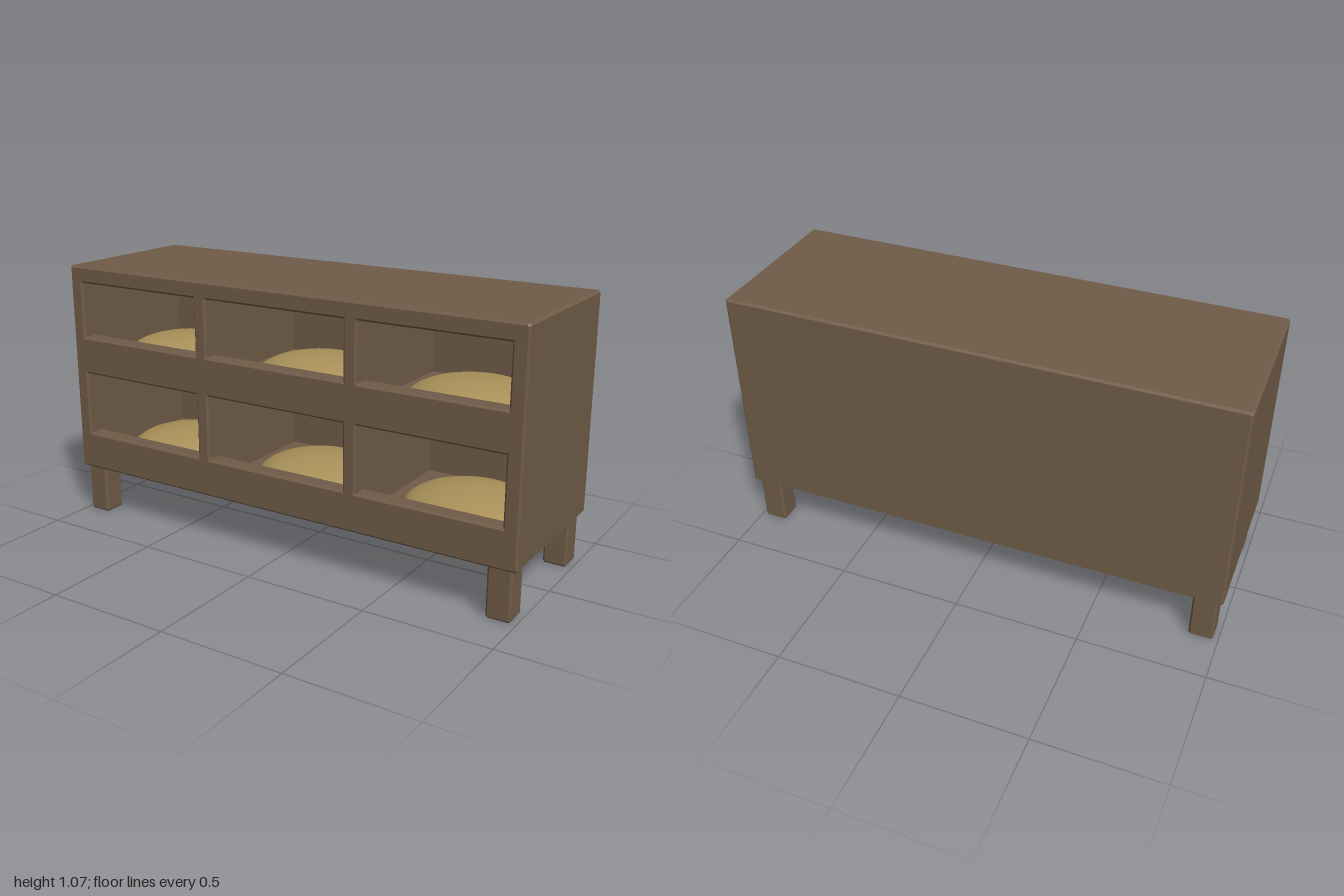
import * as THREE from 'three';

const BEVEL = 0.008;
const wood = new THREE.MeshStandardMaterial({ color: 0x705b47 });
const straw = new THREE.MeshStandardMaterial({ color: 0xa89058 });

// Rectangle path with small cut corners
function rect(path, x0, x1, y0, y1, c) {
  path.moveTo(x0 + c, y0);
  path.lineTo(x1 - c, y0);
  if (c) path.lineTo(x1, y0 + c);
  path.lineTo(x1, y1 - c);
  if (c) path.lineTo(x1 - c, y1);
  path.lineTo(x0 + c, y1);
  if (c) path.lineTo(x0, y1 - c);
  path.lineTo(x0, y0 + c);
  path.closePath();
  return path;
}

// Block between z0 and z1 with chamfered edges and optional rectangular holes
function block(name, [x0, x1, y0, y1], z0, z1, holes = [], bevel = BEVEL) {
  const shape = rect(new THREE.Shape(), x0, x1, y0, y1, BEVEL);
  for (const h of holes) shape.holes.push(rect(new THREE.Path(), ...h, 0));
  const geometry = new THREE.ExtrudeGeometry(shape, {
    depth: z1 - z0 - 2 * bevel,
    bevelEnabled: bevel > 0,
    bevelThickness: bevel,
    bevelSize: bevel,
    bevelOffset: -bevel,
    bevelSegments: 1,
  });
  geometry.translate(0, 0, z0 + bevel);
  const mesh = new THREE.Mesh(geometry, wood);
  mesh.name = name;
  return mesh;
}

export function createModel() {
  const group = new THREE.Group();
  group.name = 'nestingCabinet';

  const body = [-1, 1, 0.2, 1.065];
  const columns = [[-0.94, -0.362], [-0.307, 0.307], [0.362, 0.94]];
  const rows = [
    { floor: 0.26, lip: 0.355, top: 0.615 },
    { floor: 0.68, lip: 0.77, top: 0.997 },
  ];
  const openings = [], cells = [];
  for (const r of rows) {
    for (const [a, b] of columns) {
      openings.push([a, b, r.lip, r.top]);
      cells.push([a, b, r.floor, r.top]);
    }
  }

  // Case: lipped front, hollow compartments, solid back
  group.add(block('frontFrame', body, 0.26, 0.33, openings));
  group.add(block('compartments', body, -0.28, 0.27, cells, 0));
  group.add(block('backPanel', body, -0.33, -0.27));

  // Straw mound lying on the floor of each compartment
  const mound = new THREE.SphereGeometry(0.25, 32, 10, 0, Math.PI * 2, 0, Math.PI / 2);
  mound.scale(1, 0.32, 1);
  for (const r of rows) {
    for (const x of [-0.667, 0, 0.667]) {
      const mesh = new THREE.Mesh(mound, straw);
      mesh.name = 'strawBed';
      mesh.position.set(x, r.floor, 0);
      group.add(mesh);
    }
  }

  // Four square legs
  for (const sx of [-1, 1]) {
    for (const sz of [-1, 1]) {
      const leg = block('leg', [-0.0475, 0.0475, 0, 0.21], -0.0475, 0.0475);
      leg.position.set(sx * 0.932, 0, sz * 0.2675);
      group.add(leg);
    }
  }
  return group;
}
